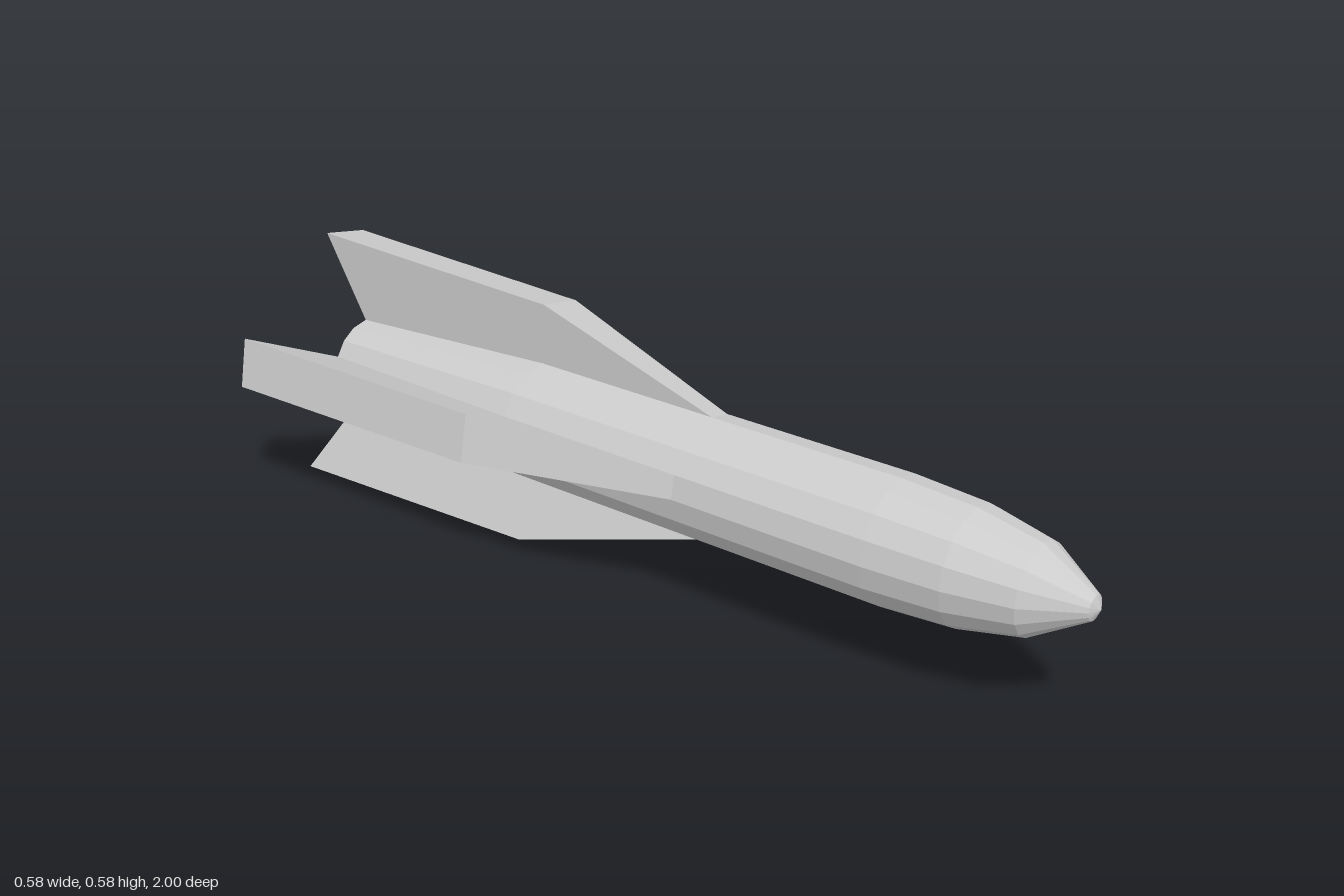
import * as THREE from 'three';

const SIDES = 16;
const FIN_ANGLE = (Math.PI * 2) / SIDES;
const AXIS_HEIGHT = 0.29;

// Fuselage: [radius, station] profile turned about the long axis, nose towards +z
function bodyGeometry() {
  const profile = [
    [0, -0.89], [0.101, -0.89], [0.134, -0.34], [0.134, 0.57],
    [0.124, 0.735], [0.095, 0.875], [0.026, 0.988], [0, 1],
  ].map(([r, z]) => new THREE.Vector2(r, z));
  return new THREE.LatheGeometry(profile, SIDES).rotateX(Math.PI / 2);
}

// Fin: side outline (station, radius) swept through one facet of the fuselage,
// so it widens outwards
function finGeometry() {
  const outline = [
    [0.12, 0.1], [0.12, 0.134], [-0.33, 0.271], [-1, 0.29], [-0.89, 0.101],
  ].map(([z, r]) => new THREE.Vector2(z, r));
  const geometry = new THREE.ExtrudeGeometry(new THREE.Shape(outline), {
    depth: 1, steps: 1, bevelEnabled: false,
  });
  const p = geometry.attributes.position;
  for (let i = 0; i < p.count; i++) {
    const z = p.getX(i), r = p.getY(i), angle = (1 - p.getZ(i)) * FIN_ANGLE;
    p.setXYZ(i, r * Math.sin(angle), r * Math.cos(angle), z);
  }
  geometry.computeVertexNormals();
  return geometry;
}

export function createModel() {
  const material = new THREE.MeshStandardMaterial({ color: 0xcccccc, flatShading: true });
  const model = new THREE.Group();
  model.name = 'rocket';

  const body = new THREE.Mesh(bodyGeometry(), material);
  body.name = 'body';
  body.position.y = AXIS_HEIGHT;
  model.add(body);

  // Four fins, a quarter turn apart
  const finShape = finGeometry();
  ['topFin', 'leftFin', 'bottomFin', 'rightFin'].forEach((name, i) => {
    const fin = new THREE.Mesh(finShape, material);
    fin.name = name;
    fin.position.y = AXIS_HEIGHT;
    fin.rotation.z = (-i * Math.PI) / 2;
    model.add(fin);
  });

  return model;
}
